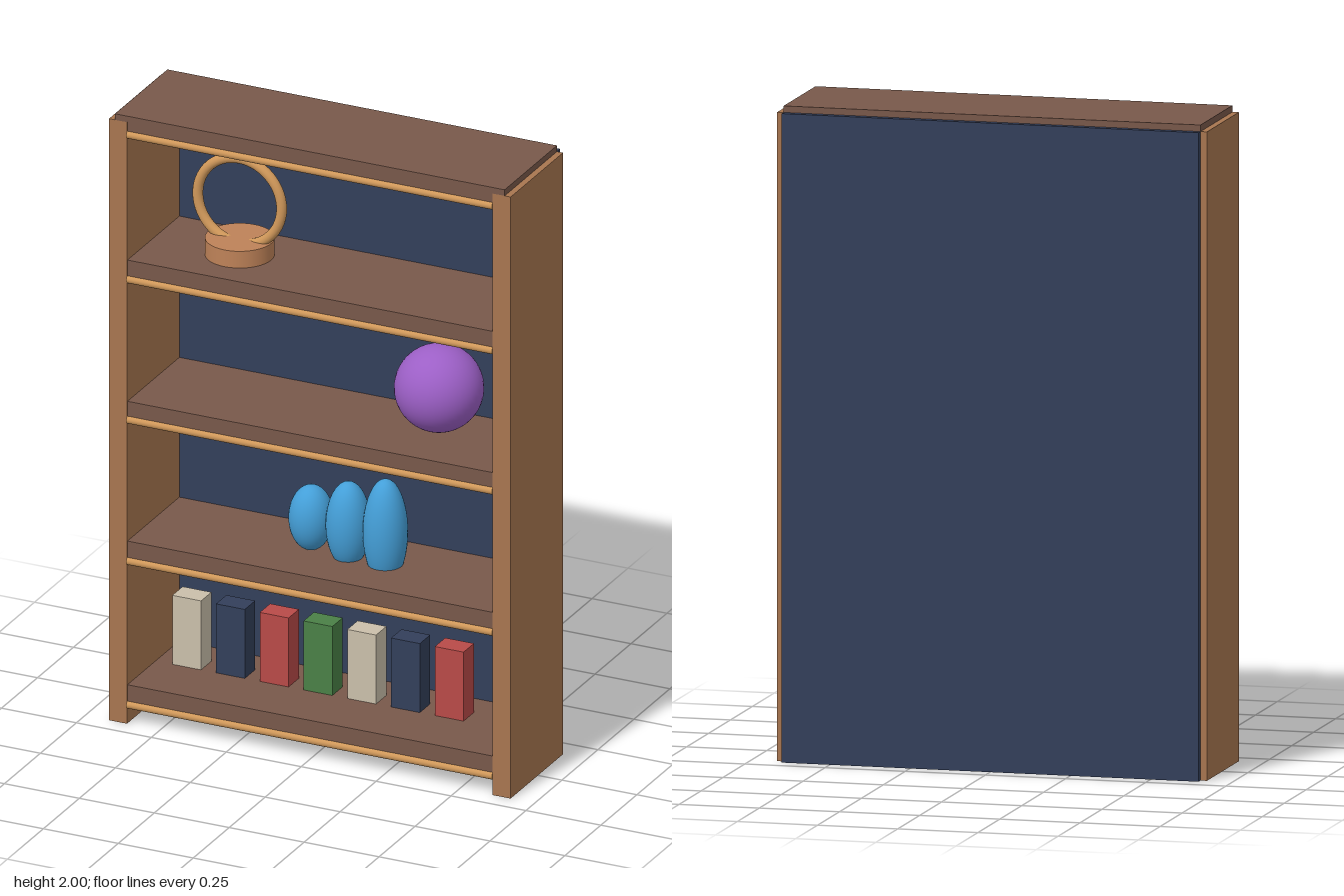
import * as THREE from 'three';

const paint = (name, color) => {
  const m = new THREE.MeshStandardMaterial({ color });
  m.name = name;
  return m;
};

export function createModel() {
  const oak = paint('oak', 0xa87650);
  const walnut = paint('walnut', 0x78584a);
  const gold = paint('gold', 0xd0985a);
  const navy = paint('navy', 0x333f5a);
  const copper = paint('copper', 0xbe8258);
  const purple = paint('purple', 0x9c5fc6);
  const blue = paint('blue', 0x449fd8);
  const cream = paint('cream', 0xcabfaa);
  const red = paint('red', 0xb84a48);
  const green = paint('green', 0x4a8046);

  const root = new THREE.Group();
  root.name = 'bookcase';

  const add = (name, geometry, material, x, y, z, parent = root) => {
    const mesh = new THREE.Mesh(geometry, material);
    mesh.name = name;
    mesh.position.set(x, y, z);
    parent.add(mesh);
    return mesh;
  };
  // Box given by its minimum and maximum on each axis
  const box = (name, material, [x0, x1], [y0, y1], [z0, z1], parent) =>
    add(name, new THREE.BoxGeometry(x1 - x0, y1 - y0, z1 - z0), material,
      (x0 + x1) / 2, (y0 + y1) / 2, (z0 + z1) / 2, parent);
  const group = (name) => {
    const g = new THREE.Group();
    g.name = name;
    root.add(g);
    return g;
  };

  // Carcass
  const back = -0.174, front = 0.19;
  box('rightSide', oak, [-0.67, -0.61], [0, 1.98], [back, front]);
  box('leftSide', oak, [0.61, 0.67], [0, 1.98], [back, front]);
  box('backPanel', navy, [-0.65, 0.65], [0, 1.98], [-0.196, back]);
  box('topCap', walnut, [-0.65, 0.65], [1.98, 2], [back, front]);

  // Shelves with a round bead along the lower front edge
  const beadGeometry = new THREE.CylinderGeometry(0.0125, 0.0125, 1.22, 16).rotateZ(Math.PI / 2);
  [0.127, 0.6, 1.06, 1.525, 1.98].forEach((top, i) => {
    const bottom = [0.052, 0.525, 0.99, 1.452, 1.928][i];
    box('shelf', walnut, [-0.61, 0.61], [bottom, top], [back, front - 0.003]);
    add('shelfBead', beadGeometry, gold, 0, bottom + 0.0095, 0.1835);
  });

  // Row of books
  const books = group('books');
  [cream, navy, red, green, cream, navy, red].forEach((cover, i) => {
    const x = -0.506 + i * 0.146;
    box('book', cover, [x - 0.048, x + 0.048], [0.127, 0.354], [-0.08, -0.008], books);
  });

  // Three upright oval vases
  const vases = group('vases');
  [0.105, 0.14, 0.172].forEach((halfHeight, i) => {
    add('vase', new THREE.SphereGeometry(1, 32, 24), blue, -0.087 + i * 0.124, 0.705, 0, vases)
      .scale.set(0.068, halfHeight, 0.07);
  });

  // Ball
  add('ball', new THREE.SphereGeometry(0.136, 40, 28), purple, 0.34, 1.213, 0);

  // Ring on a round foot
  const ornament = group('ringOrnament');
  add('foot', new THREE.CylinderGeometry(0.105, 0.105, 0.055, 40), copper, -0.325, 1.5525, 0, ornament);
  add('ring', new THREE.TorusGeometry(0.14, 0.016, 16, 56), gold, -0.325, 1.7, 0, ornament);

  return root;
}
